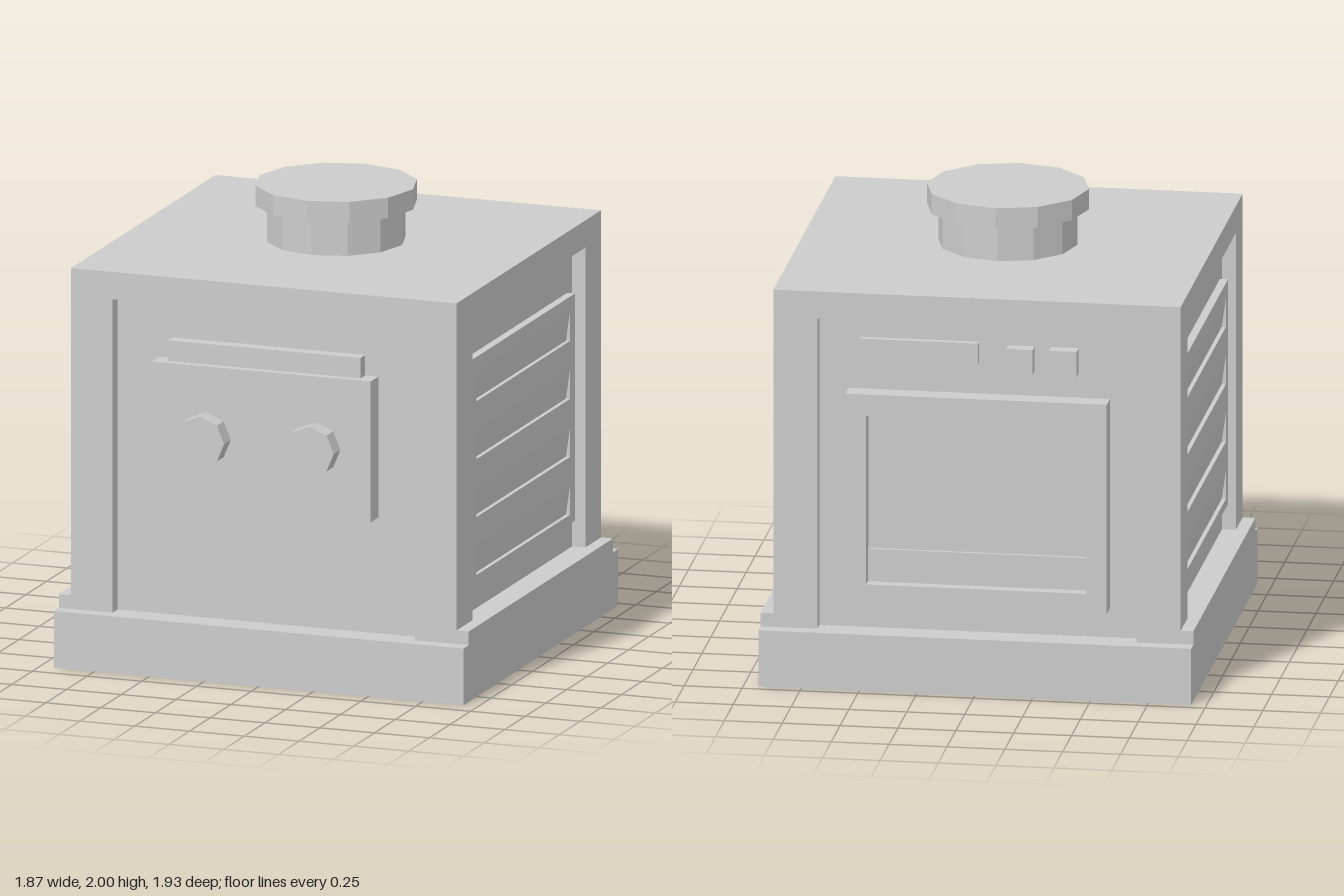
import * as THREE from 'three';

const grey = new THREE.MeshStandardMaterial({ color: 0xcccccc });
grey.name = 'plain grey';

export function createModel() {
  const model = new THREE.Group();
  model.name = 'stove';

  const add = (name, geometry, parent = model) => {
    const mesh = new THREE.Mesh(geometry, grey);
    mesh.name = name;
    parent.add(mesh);
    return mesh;
  };
  // Box given by its limits on each axis
  const box = (name, x0, x1, y0, y1, z0, z1, parent) => {
    const mesh = add(name, new THREE.BoxGeometry(x1 - x0, y1 - y0, z1 - z0), parent);
    mesh.position.set((x0 + x1) / 2, (y0 + y1) / 2, (z0 + z1) / 2);
    return mesh;
  };
  // Faceted upright prism
  const prism = (name, radius, height, sides) =>
    add(name, new THREE.CylinderGeometry(radius, radius, height, sides).toNonIndexed());
  const facet = (mesh) => { mesh.geometry.computeVertexNormals(); return mesh; };

  // Plinth, recessed core and top slab
  box('plinth', -0.935, 0.935, 0, 0.25, -0.9625, 0.9125);
  box('core', -0.82, 0.82, 0.25, 1.63, -0.84, 0.79);
  box('topSlab', -0.88, 0.88, 1.63, 1.75, -0.9, 0.85);

  // Corner posts frame the four recesses
  for (const [x0, x1] of [[-0.88, -0.69], [0.69, 0.88]]) {
    for (const [z0, z1] of [[-0.9, -0.71], [0.66, 0.85]]) {
      box('cornerPost', x0, x1, 0.25, 1.63, z0, z1);
    }
  }

  // Louvred side panels: wedge-shaped slots between plain margins
  const profile = new THREE.Shape();
  profile.moveTo(0.8, 0.44);
  profile.lineTo(0.855, 0.44);
  for (const y of [0.48, 0.735, 0.99, 1.245]) {
    profile.lineTo(0.855, y);
    profile.lineTo(0.837, y);
    profile.lineTo(0.855, y + 0.13);
  }
  profile.lineTo(0.855, 1.44);
  profile.lineTo(0.8, 1.44);
  const louvres = new THREE.ExtrudeGeometry(profile, { depth: 1.13, bevelEnabled: false });
  louvres.translate(0, 0, -0.59);

  for (const side of [1, -1]) {
    const panel = new THREE.Group();
    panel.name = side > 0 ? 'leftPanel' : 'rightPanel';
    add('louvres', louvres, panel);
    box('panelMargin', 0.8, 0.855, 0.44, 1.44, 0.54, 0.6, panel);
    box('panelMargin', 0.8, 0.855, 0.44, 1.44, -0.65, -0.59, panel);
    box('sideLedge', 0.8, 0.935, 0.25, 0.31, -0.9, 0.85, panel);
    // A half turn about the body centre places the opposite side
    if (side < 0) {
      panel.rotation.y = Math.PI;
      panel.position.z = -0.05;
    }
    model.add(panel);
  }

  // Front control panel with its strip and two knobs
  box('controlPanel', -0.5, 0.5, 0.76, 1.38, 0.78, 0.883);
  box('controlStrip', -0.44, 0.44, 1.38, 1.47, 0.78, 0.845);
  for (const x of [-0.25, 0.25]) {
    const knob = facet(prism('knob', 0.112, 0.085, 8));
    knob.rotation.x = Math.PI / 2;
    knob.position.set(x, 1.067, 0.922);
  }

  // Oven door at the back: a frame around a sunken window
  const rect = (path, x, y0, y1) => {
    path.moveTo(-x, y0);
    path.lineTo(x, y0);
    path.lineTo(x, y1);
    path.lineTo(-x, y1);
    path.closePath();
    return path;
  };
  const door = rect(new THREE.Shape(), 0.565, 0.38, 1.31);
  door.holes.push(rect(new THREE.Path(), 0.475, 0.465, 1.215));
  const frame = add('doorFrame', new THREE.ExtrudeGeometry(door, { depth: 0.1, bevelEnabled: false }));
  frame.position.z = -0.93;
  box('windowPane', -0.5, 0.5, 0.44, 1.23, -0.865, -0.83);
  box('windowSill', -0.475, 0.475, 0.465, 0.61, -0.88, -0.83);

  // Display strip and two buttons above the door
  box('displayStrip', 0, 0.51, 1.45, 1.54, -0.87, -0.83);
  box('button', -0.24, -0.125, 1.42, 1.53, -0.897, -0.83);
  box('button', -0.43, -0.31, 1.42, 1.53, -0.897, -0.83);

  // Twelve-sided chimney and cap
  facet(prism('chimney', 0.3, 0.16, 12)).position.set(0, 1.83, -0.027);
  facet(prism('chimneyCap', 0.35, 0.09, 12)).position.set(0, 1.955, -0.027);

  return model;
}
